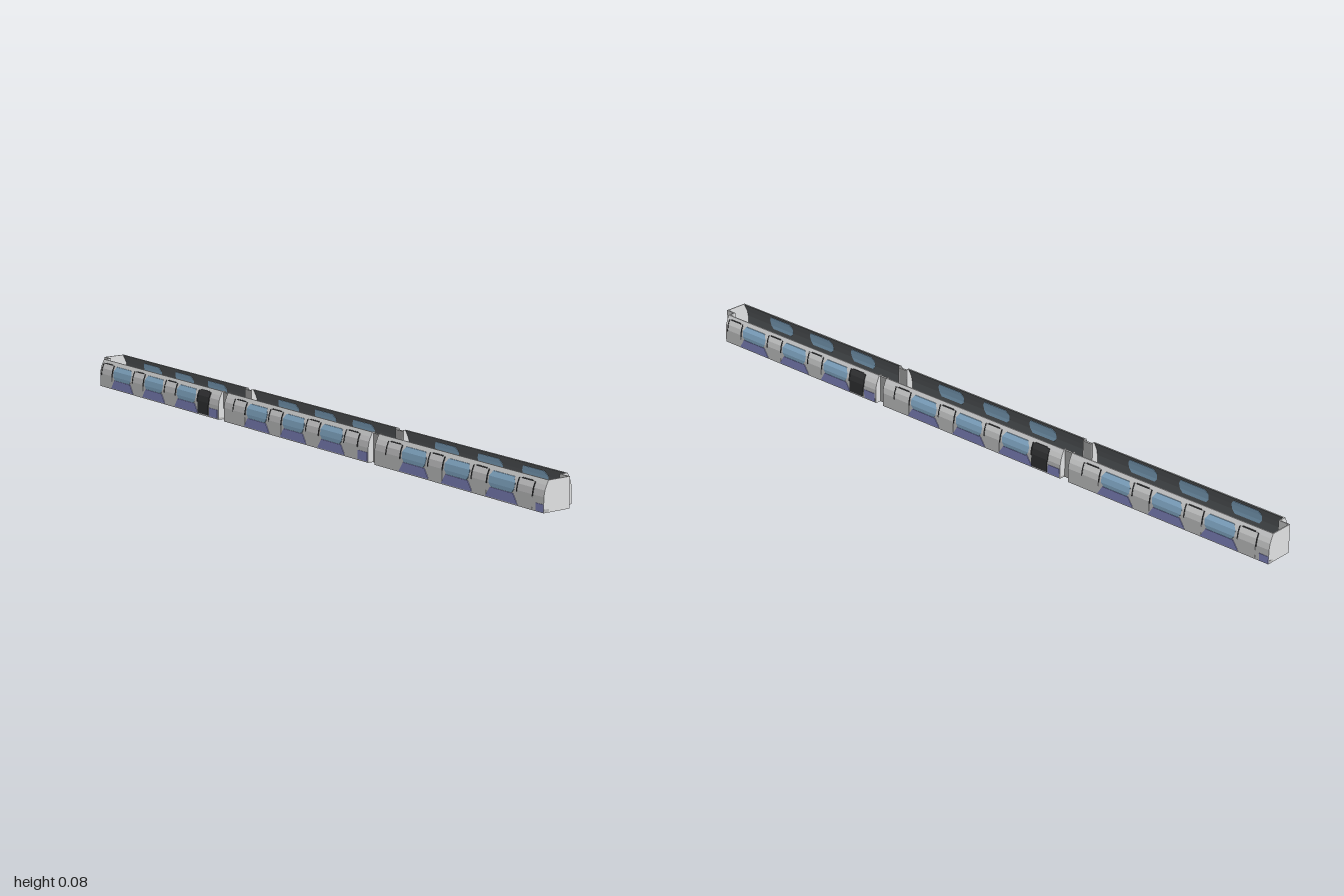
import * as THREE from 'three';

const mat = (name, color) => Object.assign(new THREE.MeshStandardMaterial({ color }), { name });

export function createModel() {
  const M = {
    body: mat('bodyGrey', 0xe2e3e4),
    floor: mat('floorGrey', 0xbebebe),
    bellows: mat('bellowsGrey', 0xbbbcbc),
    dark: mat('darkRubber', 0x3a3b3d),
    liner: mat('linerGrey', 0x626669),
    glass: mat('glassBlue', 0x98c4e6),
    skirt: mat('skirtViolet', 0x9599dc),
  };

  // Half cross-section of the carriage: [height, half width]
  const profile = [[0.003, 0.058], [0.042, 0.058], [0.058, 0.055], [0.07, 0.05], [0.082, 0.044]];
  const halfWidth = (y) => {
    for (let i = 1; i < profile.length; i++) {
      const [ya, za] = profile[i - 1], [yb, zb] = profile[i];
      if (y <= yb) return za + (zb - za) * (y - ya) / (yb - ya);
    }
    return 0.044;
  };

  const add = (group, name, geometry, material) => {
    const mesh = new THREE.Mesh(geometry, material);
    mesh.name = name;
    group.add(mesh);
    return mesh;
  };
  const box = (group, name, material, x0, x1, y0, y1, z0, z1) => {
    const mesh = add(group, name, new THREE.BoxGeometry(x1 - x0, y1 - y0, z1 - z0), material);
    mesh.position.set((x0 + x1) / 2, (y0 + y1) / 2, (z0 + z1) / 2);
  };

  // Outline given as [z, y] points, extruded along x
  const extrudeX = (points, x0, x1) => {
    const shape = new THREE.Shape(points.map(([z, y]) => new THREE.Vector2(-z, y)));
    const g = new THREE.ExtrudeGeometry(shape, { depth: x1 - x0, bevelEnabled: false });
    return g.rotateY(Math.PI / 2).translate(x0, 0, 0);
  };

  // Side plate following the wall curve; widthAt scales its length by relative height
  const plate = (group, name, material, side, x0, x1, y0, y1, outer, inner, widthAt) => {
    const ys = [y0, ...profile.map((p) => p[0]).filter((y) => y > y0 + 1e-5 && y < y1 - 1e-5), y1];
    const out = ys.map((y) => [side * (halfWidth(y) + outer), y]);
    const back = ys.map((y) => [side * (halfWidth(y) + inner), y]).reverse();
    const g = extrudeX([...out, ...back], x0, x1);
    if (widthAt) {
      const p = g.attributes.position, mid = (x0 + x1) / 2;
      for (let i = 0; i < p.count; i++) {
        p.setX(i, mid + (p.getX(i) - mid) * widthAt((p.getY(i) - y0) / (y1 - y0)));
      }
      g.computeVertexNormals();
    }
    add(group, name, g, material);
  };
  const narrowTop = (u) => 1 - 0.28 * u;
  const roundedEnds = (u) => 1 - 0.22 * (2 * u - 1) ** 2;

  // Cross wall between two z positions, following the body outline
  const crossWall = (group, name, material, x0, x1, za, zb) => {
    const pts = [];
    const clamp = (z) => Math.min(zb, Math.max(za, z));
    for (const [y, z] of profile) pts.push([clamp(z), y]);
    for (const [y, z] of [...profile].reverse()) pts.push([clamp(-z), y]);
    const clean = pts.filter((p, i) => !i || p[0] !== pts[i - 1][0] || p[1] !== pts[i - 1][1]);
    add(group, name, extrudeX(clean, x0, x1), material);
  };

  // Wall with windows, skirts and doors on one side
  const wall = (car, side, x0, x1, centre, openDoor) => {
    plate(car, 'sideWall', M.body, side, x0, x1, 0.003, 0.082, 0, -0.003);
    plate(car, 'wallLining', M.liner, side, x0 + 0.004, x1 - 0.004, 0.01, 0.081, -0.003, -0.0045);
    for (const i of [-1, 0, 1]) {
      const x = centre + i * 0.168;
      plate(car, 'windowGlass', M.glass, side, x - 0.049, x + 0.049, 0.032, 0.071, 0.002, -0.006, roundedEnds);
      plate(car, 'skirtPanel', M.skirt, side, x - 0.059, x + 0.059, 0.006, 0.031, 0.0016, 0, narrowTop);
    }
    for (let i = 0; i < 4; i++) {
      const x = centre + (i - 1.5) * 0.168;
      const dark = i === openDoor;
      plate(car, dark ? 'darkDoor' : 'door', dark ? M.dark : M.body, side,
        x - 0.027, x + 0.027, 0.007, 0.072, 0.001, -0.002);
      for (const s of [-1, 1]) {
        const e = x + s * 0.0285;
        plate(car, 'doorSeal', M.dark, side, e - 0.0012, e + 0.0012, 0.038, 0.072, 0.002, 0);
      }
      plate(car, 'doorHeader', M.dark, side, x - 0.02, x + 0.02, 0.0715, 0.074, 0.002, 0);
    }
  };

  // Walls beside the gangway opening
  const gangwayEnd = (car, x0, x1) => {
    crossWall(car, 'endWall', M.body, x0, x1, 0.034, 0.06);
    crossWall(car, 'endWall', M.body, x0, x1, -0.06, -0.034);
  };

  // Cab car with a stepped end
  const cabCar = (name) => {
    const car = new THREE.Group();
    car.name = name;
    box(car, 'floor', M.floor, 0.352, 0.97, 0.003, 0.009, -0.057, 0.057);
    box(car, 'noseFloor', M.floor, 0.97, 0.999, 0.003, 0.009, -0.022, 0.057);
    wall(car, 1, 0.352, 1, 0.68, -1);
    wall(car, -1, 0.352, 0.97, 0.68, 0);
    crossWall(car, 'noseWall', M.body, 0.997, 1, -0.024, 0.06);
    crossWall(car, 'recessedNoseWall', M.body, 0.967, 0.97, -0.06, -0.021);
    box(car, 'noseReturn', M.body, 0.968, 0.998, 0.003, 0.082, -0.024, -0.021);
    gangwayEnd(car, 0.352, 0.355);
    plate(car, 'noseSkirt', M.skirt, 1, 0.972, 1, 0.005, 0.024, 0.001, 0);
    box(car, 'noseStep', M.bellows, 0.998, 1.0005, 0.005, 0.012, 0.042, 0.058);
    plate(car, 'endSkirt', M.skirt, -1, 0.357, 0.397, 0.006, 0.03, 0.0012, 0);
    box(car, 'floorPad', M.skirt, 0.358, 0.398, 0.009, 0.012, 0.016, 0.046);
    return car;
  };

  const train = new THREE.Group();
  train.name = 'train';
  const rear = cabCar('rightCabCar');
  rear.rotation.y = Math.PI;
  train.add(cabCar('leftCabCar'), rear);

  // Middle car
  const middle = new THREE.Group();
  middle.name = 'middleCar';
  box(middle, 'floor', M.floor, -0.325, 0.325, 0.003, 0.009, -0.057, 0.057);
  wall(middle, 1, -0.325, 0.325, 0, -1);
  wall(middle, -1, -0.325, 0.325, 0, 0);
  gangwayEnd(middle, -0.325, -0.322);
  gangwayEnd(middle, 0.322, 0.325);
  for (const s of [-1, 1]) {
    plate(middle, 'endSkirt', M.skirt, s, s > 0 ? 0.283 : -0.322, s > 0 ? 0.322 : -0.283, 0.006, 0.03, 0.0012, 0);
    box(middle, 'floorPad', M.skirt, s * 0.3 - 0.02, s * 0.3 + 0.02, 0.009, 0.012,
      -s * 0.031 - 0.015, -s * 0.031 + 0.015);
  }
  train.add(middle);

  // Open gangways joining the cars
  for (const s of [-1, 1]) {
    const gangway = new THREE.Group();
    gangway.name = 'gangway';
    const x0 = s * 0.3385 - 0.0145, x1 = s * 0.3385 + 0.0145;
    box(gangway, 'gangwayFloor', M.floor, x0, x1, 0.002, 0.0085, -0.04, 0.04);
    for (const t of [-1, 1]) {
      box(gangway, 'gangwayWall', M.bellows, x0, x1, 0.002, 0.079, t * 0.037 - 0.003, t * 0.037 + 0.003);
    }
    train.add(gangway);
  }
  return train;
}
